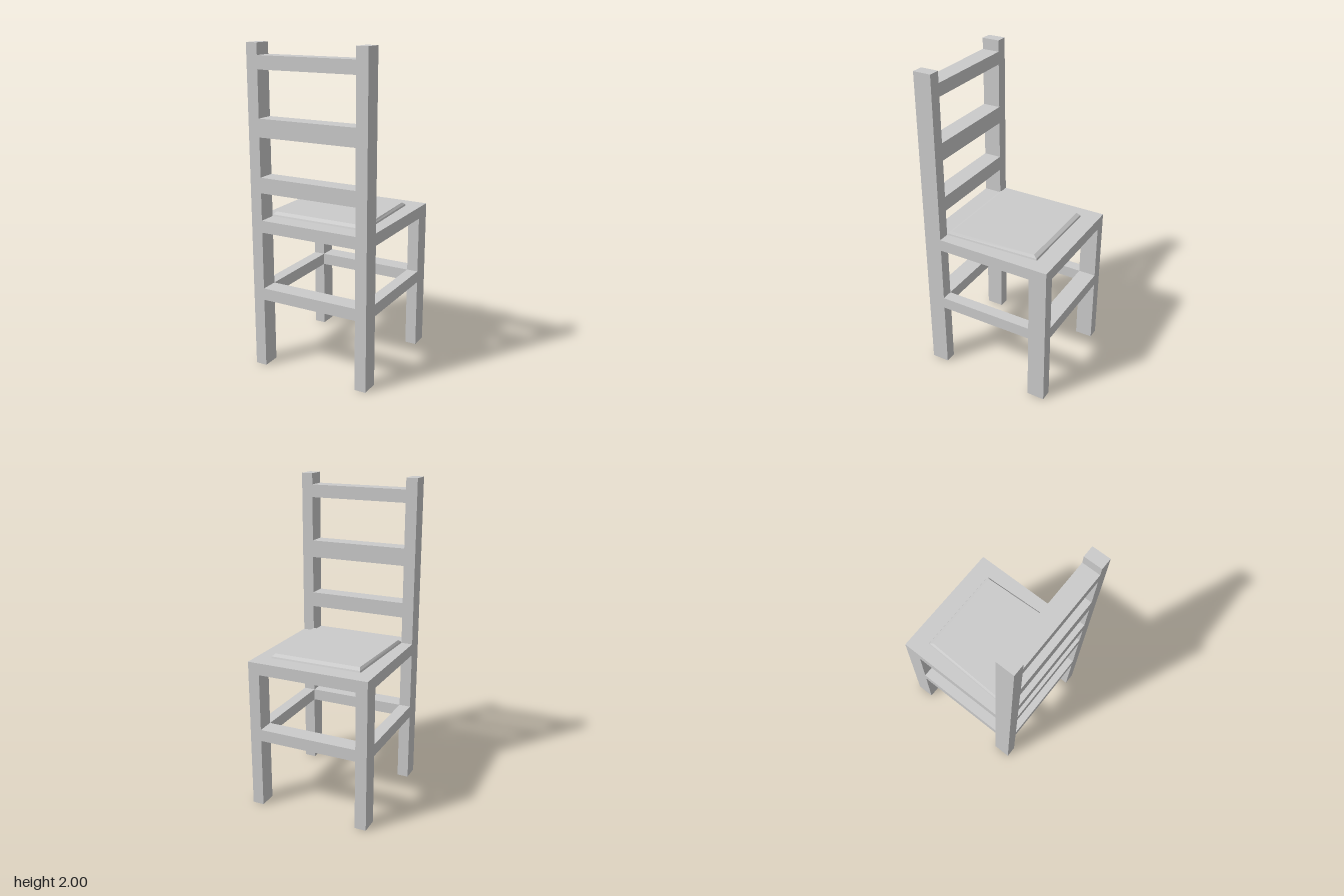
import * as THREE from 'three';

const material = new THREE.MeshStandardMaterial({ color: 0xcccccc, flatShading: true });

// Outer and inner limits of the posts
const X = 0.39, XI = 0.317, Z = 0.42, ZI = 0.307;
const SEAT_BOTTOM = 0.88, SEAT_TOP = 0.955;

// Box given by its limits on each axis
function bar(name, [x0, x1], [y0, y1], [z0, z1]) {
  const mesh = new THREE.Mesh(new THREE.BoxGeometry(x1 - x0, y1 - y0, z1 - z0), material);
  mesh.position.set((x0 + x1) / 2, (y0 + y1) / 2, (z0 + z1) / 2);
  mesh.name = name;
  return mesh;
}

// Tapered cushion: stacked four-cornered rings, closed with a flat top
function cushion() {
  const rings = [
    { y: SEAT_TOP, narrow: 0.295, wide: 0.317, z: 0.307 },
    { y: 0.965, narrow: 0.292, wide: 0.314, z: 0.303 },
    { y: 0.98, narrow: 0.281, wide: 0.304, z: 0.281 },
  ];
  const points = [], index = [];
  for (const { y, narrow, wide, z } of rings) {
    points.push(-wide, y, z, wide, y, z, narrow, y, -z, -narrow, y, -z);
  }
  for (let r = 0; r < rings.length - 1; r++) {
    for (let i = 0; i < 4; i++) {
      const a = r * 4 + i, b = r * 4 + (i + 1) % 4;
      index.push(a, b, b + 4, a, b + 4, a + 4);
    }
  }
  const t = (rings.length - 1) * 4;
  index.push(t, t + 1, t + 2, t, t + 2, t + 3);

  const indexed = new THREE.BufferGeometry();
  indexed.setAttribute('position', new THREE.Float32BufferAttribute(points, 3));
  indexed.setIndex(index);
  const geometry = indexed.toNonIndexed();
  geometry.computeVertexNormals();
  const mesh = new THREE.Mesh(geometry, material);
  mesh.name = 'cushion';
  return mesh;
}

export function createModel() {
  const chair = new THREE.Group();
  chair.name = 'chair';
  const across = [-XI, XI], backDepth = [ZI, Z], frontDepth = [-Z, -ZI];
  const stretcherY = [0.445, 0.52];

  // Posts, legs and side stretchers, mirrored left and right
  for (const [side, span] of [['left', [XI, X]], ['right', [-X, -XI]]]) {
    chair.add(
      bar(side + 'BackPost', span, [0, 2], backDepth),
      bar(side + 'FrontLeg', span, [0, SEAT_BOTTOM], frontDepth),
      bar(side + 'Stretcher', span, stretcherY, [-ZI, ZI]),
    );
  }

  // Cross stretchers between the legs
  chair.add(
    bar('frontStretcher', across, stretcherY, frontDepth),
    bar('backStretcher', across, stretcherY, backDepth),
  );

  // Seat slab, its rear rail between the posts, and the cushion
  chair.add(
    bar('seat', [-X, X], [SEAT_BOTTOM, SEAT_TOP], [-Z, ZI]),
    bar('seatBackRail', across, [SEAT_BOTTOM, SEAT_TOP], backDepth),
    cushion(),
  );

  // Backrest slats
  [[1.125, 1.22], [1.46, 1.57], [1.85, 1.93]].forEach((height, i) => {
    chair.add(bar('backSlat' + (i + 1), across, height, backDepth));
  });

  return chair;
}
